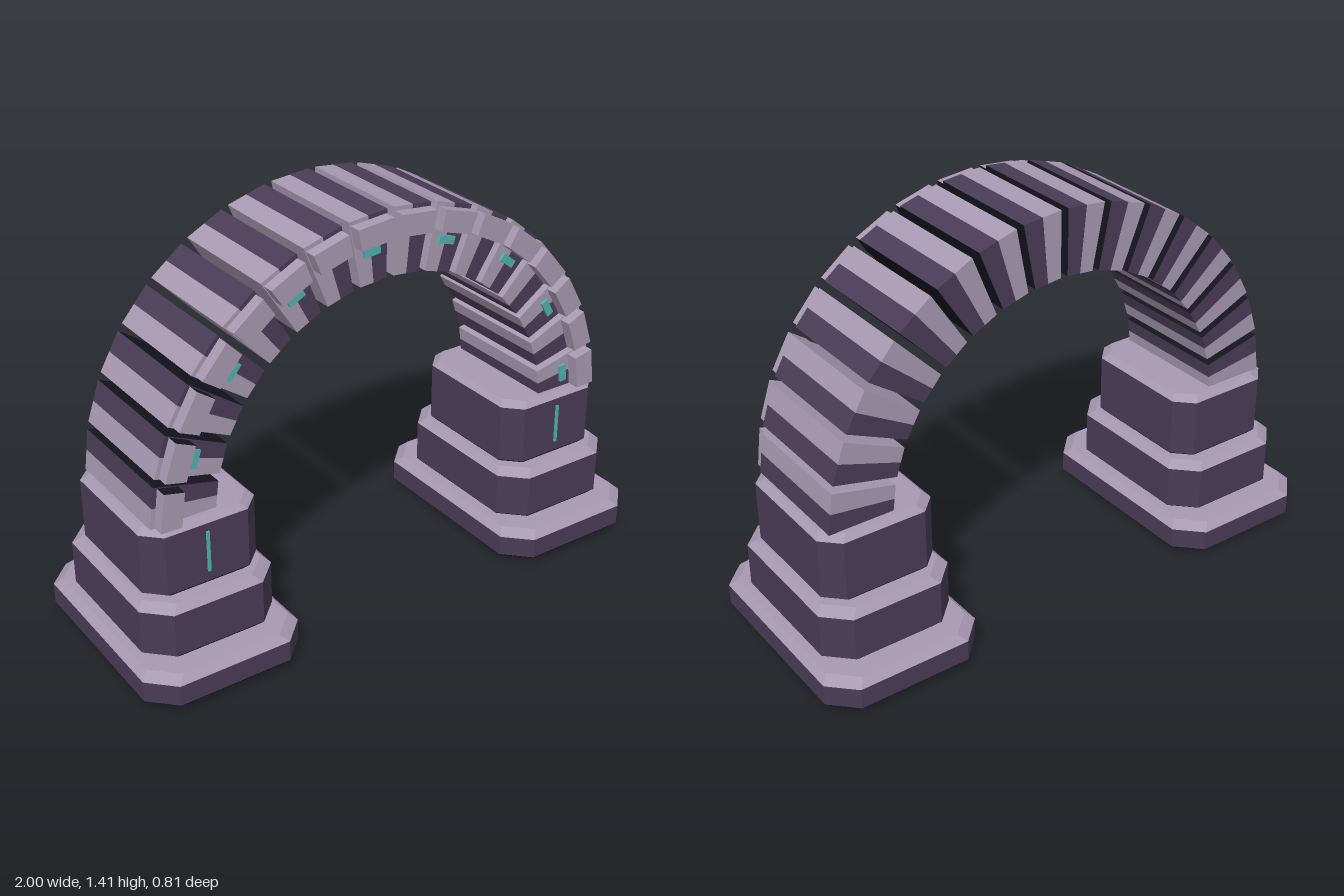
import * as THREE from 'three';

const mat = (name, color) => {
  const m = new THREE.MeshStandardMaterial({ color });
  m.name = name;
  return m;
};

export function createModel() {
  const light = mat('pale mauve stone', 0xa899b2);
  const mid = mat('dark purple stone', 0x4a3c57);
  const dark = mat('near black underside', 0x14141e);
  const teal = mat('teal inlay', 0x4fb3b0);
  const model = new THREE.Group();
  model.name = 'stoneArch';

  const add = (parent, name, geometry, material) => {
    const mesh = new THREE.Mesh(geometry, material);
    mesh.name = name;
    parent.add(mesh);
    return mesh;
  };

  // Rectangle with cut corners, as a ring of eight points
  const ring = (w, d, cut, y) =>
    [[w, d - cut], [w - cut, d], [cut - w, d], [-w, d - cut],
      [-w, cut - d], [cut - w, -d], [w - cut, -d], [w, cut - d]]
      .map(([x, z]) => [x, y, z]);

  // Bevelled plinth tier: dark underside, purple walls, pale top
  function tierGeometry(w, d, cut, y0, y1, low, high) {
    const rings = [
      ring(w - low, d - low, cut, y0), ring(w, d, cut, y0 + low),
      ring(w, d, cut, y1 - high), ring(w - high, d - high, cut, y1),
    ];
    const pos = [];
    const geo = new THREE.BufferGeometry();
    const cap = (r, up) => {
      const c = [0, r[0][1], 0];
      r.forEach((a, i) => {
        const b = r[(i + 1) % 8];
        pos.push(...c, ...(up ? b : a), ...(up ? a : b));
      });
    };
    const band = (lo, hi) => lo.forEach((a, i) => {
      const j = (i + 1) % 8;
      pos.push(...a, ...hi[i], ...lo[j], ...lo[j], ...hi[i], ...hi[j]);
    });
    cap(rings[0], false);
    for (let i = 0; i < 3; i++) band(rings[i], rings[i + 1]);
    cap(rings[3], true);
    geo.setAttribute('position', new THREE.Float32BufferAttribute(pos, 3));
    geo.addGroup(0, 72, 0);
    geo.addGroup(72, 48, 1);
    geo.addGroup(120, 72, 2);
    geo.computeVertexNormals();
    return geo;
  }

  // Two mirrored plinths: half width, half depth, corner, y range, bevels
  const tiers = [
    [0.285, 0.405, 0.085, 0, 0.125, 0.028, 0.024],
    [0.24, 0.315, 0.08, 0.125, 0.32, 0.018, 0.024],
    [0.207, 0.258, 0.06, 0.32, 0.565, 0.015, 0.02],
  ];
  for (const side of [-1, 1]) {
    const plinth = new THREE.Group();
    plinth.name = side > 0 ? 'leftPlinth' : 'rightPlinth';
    plinth.position.x = side * 0.714;
    tiers.forEach((t, i) => add(plinth, `plinthTier${i + 1}`, tierGeometry(...t), [dark, mid, light]));
    add(plinth, 'plinthInlay', new THREE.BoxGeometry(0.01, 0.145, 0.009), teal)
      .position.set(0, 0.445, 0.2605);
    model.add(plinth);
  }

  // Block from radius r0 to r1, tapering towards the arch centre;
  // s0 and s1 choose its span across the wedge, from -1 to 1
  function wedge(r0, r1, z0, z1, s0, s1, margin) {
    const geo = new THREE.BoxGeometry(1, 1, 1);
    const p = geo.attributes.position;
    const slope = Math.tan(STEP / 2);
    for (let i = 0; i < p.count; i++) {
      const r = p.getX(i) < 0 ? r0 : r1;
      const s = p.getY(i) < 0 ? s0 : s1;
      p.setXYZ(i, r, s * (r * slope - margin), p.getZ(i) < 0 ? z0 : z1);
    }
    geo.computeVertexNormals();
    return geo;
  }

  // Ring of sixteen stones, each half pale and half purple
  const STEP = THREE.MathUtils.degToRad(11);
  const paleHalf = wedge(0.658, 0.887, -0.22, 0.22, 0, 1, 0.0135);
  const darkHalf = wedge(0.658, 0.887, -0.22, 0.22, -1, 0, 0.0135);
  const trim = wedge(0.8, 0.873, 0.22, 0.263, -1, 1, 0.017);
  const inlay = new THREE.BoxGeometry(0.027, 0.062, 0.009);
  const darkFaces = [mid, mid, mid, dark, mid, mid];
  const trimFaces = [light, light, light, dark, light, light];
  const arch = new THREE.Group();
  arch.name = 'archRing';
  arch.position.y = 0.52;
  for (let i = 0; i < 16; i++) {
    const stone = new THREE.Group();
    stone.name = `archStone${i + 1}`;
    stone.rotation.z = Math.PI / 2 + (7.5 - i) * STEP;
    add(stone, 'stonePaleHalf', paleHalf, light);
    add(stone, 'stoneDarkHalf', darkHalf, darkFaces);
    add(stone, 'stoneTrim', trim, trimFaces);
    // Teal inlay on every second stone
    if (i % 2) add(stone, 'stoneInlay', inlay, teal).position.set(0.767, 0, 0.2245);
    arch.add(stone);
  }
  model.add(arch);
  return model;
}
